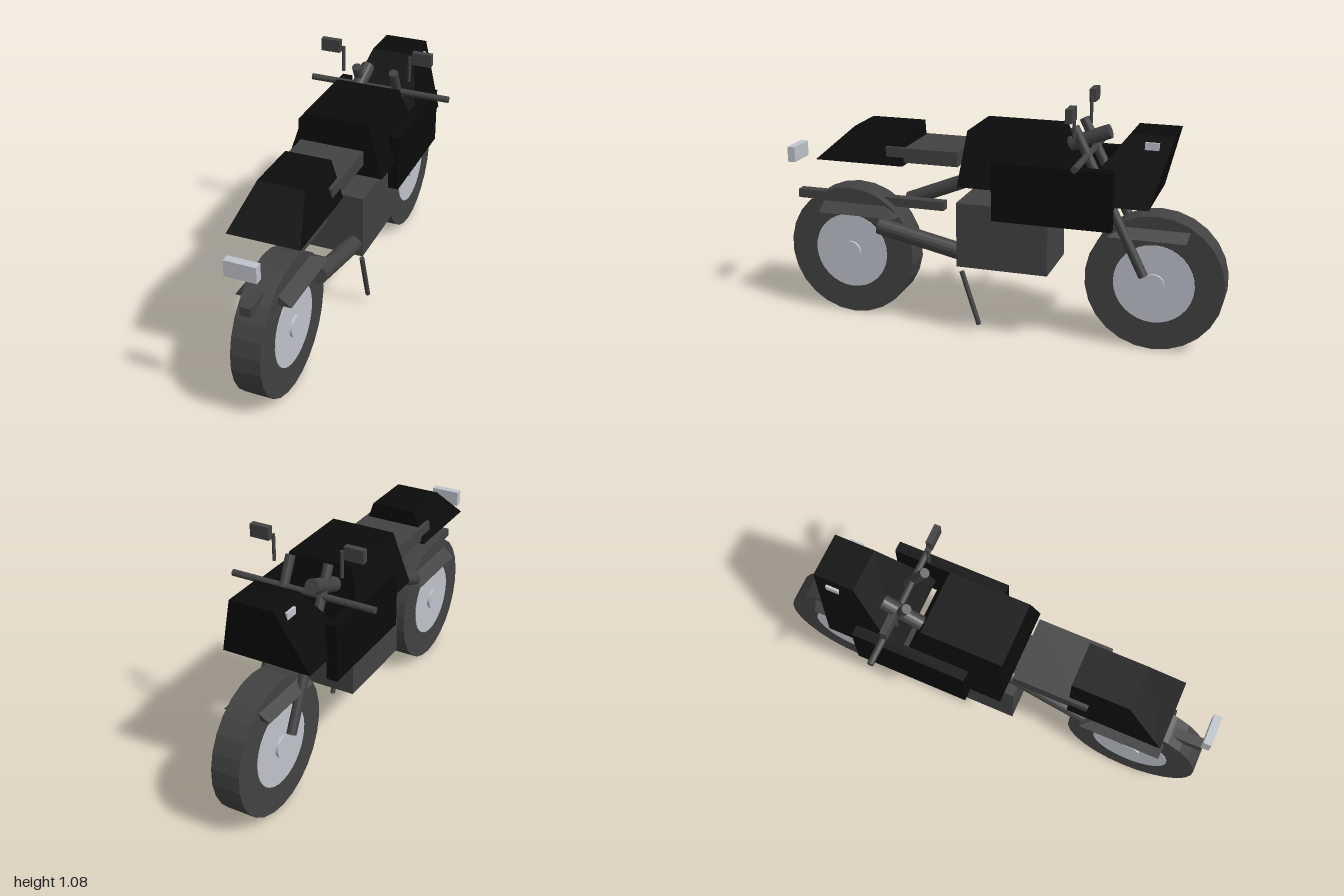
import * as THREE from 'three';

export function createModel() {
  const model = new THREE.Group();
  model.name = 'motorcycle';
  const black = new THREE.MeshStandardMaterial({ color: 0x0b0b0b });
  black.name = 'bodyBlack';
  const gray = new THREE.MeshStandardMaterial({ color: 0x424242 });
  gray.name = 'darkGray';
  const silver = new THREE.MeshStandardMaterial({ color: 0xbfc3cb });
  silver.name = 'silver';

  const add = (name, geometry, material, parent = model) => {
    // faceted normals
    const flat = geometry.index ? geometry.toNonIndexed() : geometry;
    flat.computeVertexNormals();
    const mesh = new THREE.Mesh(flat, material);
    mesh.name = name;
    parent.add(mesh);
    return mesh;
  };

  // box given by its min and max on each axis
  const box = (name, mat, [x0, x1], [y0, y1], [z0, z1]) => {
    const g = new THREE.BoxGeometry(x1 - x0, y1 - y0, z1 - z0);
    g.translate((x0 + x1) / 2, (y0 + y1) / 2, (z0 + z1) / 2);
    return add(name, g, mat);
  };

  // tapered block: each end is { y, x: half width, z: [back, front] }
  const taper = (name, mat, low, high) => {
    const g = new THREE.BoxGeometry(2, 2, 2);
    const p = g.attributes.position;
    for (let i = 0; i < p.count; i++) {
      const end = p.getY(i) < 0 ? low : high;
      p.setXYZ(i, Math.sign(p.getX(i)) * end.x, end.y, p.getZ(i) < 0 ? end.z[0] : end.z[1]);
    }
    return add(name, g, mat);
  };

  // round bar between two points
  const bar = (name, mat, a, b, r) => {
    const from = new THREE.Vector3(...a), to = new THREE.Vector3(...b);
    const dir = to.clone().sub(from);
    const g = new THREE.CylinderGeometry(r, r, dir.length(), 16);
    g.applyQuaternion(new THREE.Quaternion().setFromUnitVectors(
      new THREE.Vector3(0, 1, 0), dir.normalize()));
    g.translate(...from.add(to).multiplyScalar(0.5).toArray());
    return add(name, g, mat);
  };

  // wheels: tyre, rim disc and hub on one axle
  for (const [name, z] of [['rearWheel', 0.7], ['frontWheel', -0.7]]) {
    const wheel = new THREE.Group();
    wheel.name = name;
    wheel.position.set(0, 0.301, z);
    for (const [part, mat, r, half, sides] of [
      ['tyre', gray, 0.301, 0.064, 26], ['rim', silver, 0.175, 0.067, 32], ['hub', silver, 0.047, 0.079, 24]]) {
      const g = new THREE.CylinderGeometry(r, r, half * 2, sides, 1, false, Math.PI / 2);
      add(part, g.rotateZ(Math.PI / 2), mat, wheel);
    }
    model.add(wheel);
  }

  // fenders and the beam through the rear wheel
  taper('rearFender', gray, { y: 0.49, x: 0.12, z: [0.46, 0.83] }, { y: 0.53, x: 0.065, z: [0.53, 0.83] });
  taper('frontFender', gray, { y: 0.505, x: 0.105, z: [-0.835, -0.5] }, { y: 0.545, x: 0.065, z: [-0.845, -0.56] });
  box('rearBeam', gray, [-0.023, 0.023], [0.52, 0.56], [0.262, 0.978]);

  // engine and body
  box('engine', gray, [-0.146, 0.146], [0.313, 0.605], [-0.253, 0.158]);
  taper('tank', black, { y: 0.7, x: 0.218, z: [-0.33, 0.127] }, { y: 0.93, x: 0.147, z: [-0.262, 0.102] });
  taper('fairing', black, { y: 0.667, x: 0.2, z: [-0.688, -0.36] }, { y: 0.957, x: 0.1, z: [-0.767, -0.585] });
  box('seat', gray, [-0.142, 0.142], [0.765, 0.83], [0.15, 0.48]);
  taper('tailCowl', black, { y: 0.75, x: 0.155, z: [0.4, 0.812] }, { y: 0.903, x: 0.1, z: [0.388, 0.64] });

  // lights
  box('tailLight', silver, [-0.067, 0.067], [0.7, 0.77], [0.965, 1]);
  box('sideLights', silver, [-0.12, 0.12], [0.893, 0.93], [-0.708, -0.648]);

  // mirrored parts
  for (const s of [-1, 1]) {
    const span = (a, b) => (s > 0 ? [a, b] : [-b, -a]);
    box('sidePanel', black, span(0.188, 0.235), [0.57, 0.823], [-0.543, -0.03]);
    box('mirror', gray, span(0.172, 0.26), [1.018, 1.075], [-0.376, -0.348]);
    bar('mirrorStem', gray, [s * 0.157, 0.93, -0.362], [s * 0.157, 1.047, -0.362], 0.0075);
    bar('frontFork', gray, [s * 0.088, 0.34, -0.658], [s * 0.088, 0.965, -0.347], 0.021);
  }

  // steering, frame tube, exhaust and stand
  bar('handlebar', gray, [-0.331, 0.851, -0.407], [0.331, 0.851, -0.407], 0.0145);
  bar('steeringTube', gray, [-0.08, 0.848, -0.29], [-0.08, 0.918, -0.465], 0.032);
  bar('frameTube', gray, [-0.08, 0.53, 0.465], [-0.08, 0.73, -0.03], 0.033);
  bar('exhaust', gray, [0.103, 0.45, 0.54], [0.103, 0.341, 0.025], 0.038);
  bar('kickstand', gray, [0.135, 0.288, 0.138], [0.135, 0.045, 0.06], 0.011);

  return model;
}
